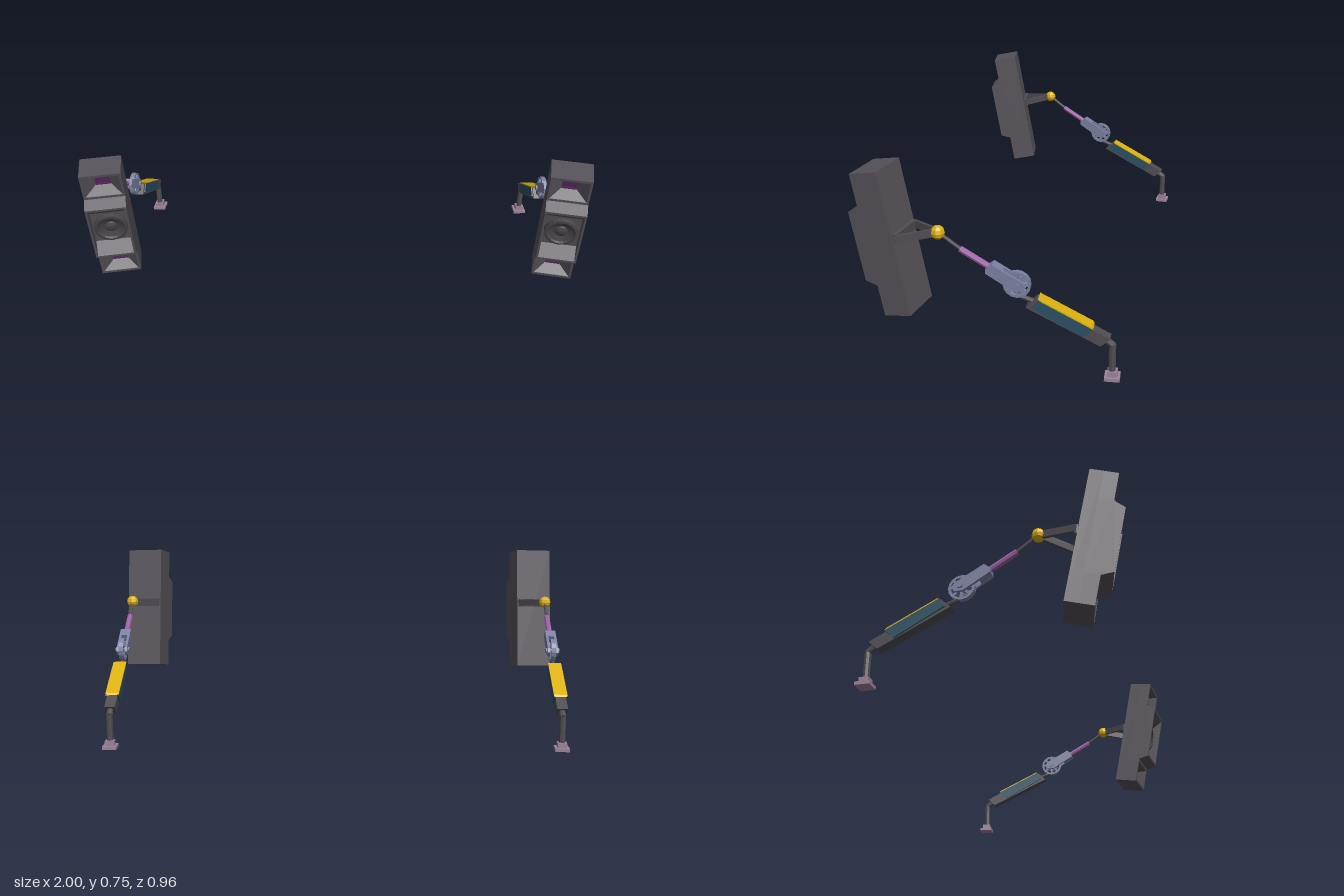
import * as THREE from 'three';

const mat = (name, color, side = THREE.FrontSide) => {
  const m = new THREE.MeshStandardMaterial({ color, side, flatShading: true });
  m.name = name;
  return m;
};

export function createModel() {
  const cabinetGrey = mat('cabinet grey', 0x565259, THREE.DoubleSide);
  const coneGrey = mat('cone grey', 0x48444a, THREE.DoubleSide);
  const darkMetal = mat('dark metal', 0x504d52);
  const throatPurple = mat('throat purple', 0x54285a, THREE.DoubleSide);
  const rodPurple = mat('rod purple', 0x9c60a4);
  const steelBlue = mat('steel blue', 0x7a81a0);
  const yellow = mat('yellow', 0xdcb00c);
  const teal = mat('teal', 0x2b5064);
  const mauve = mat('mauve', 0x9c8299);

  const add = (parent, name, geo, material, x = 0, y = 0, z = 0) => {
    const m = new THREE.Mesh(geo, material);
    m.name = name;
    m.position.set(x, y, z);
    parent.add(m);
    return m;
  };
  const box = (w, h, d) => new THREE.BoxGeometry(w, h, d);

  // Side profile of [z, y] points, extruded across x and centred
  const sideProfile = (pts, width) => {
    const shape = new THREE.Shape(pts.map(([z, y]) => new THREE.Vector2(z, y)));
    const g = new THREE.ExtrudeGeometry(shape, { depth: width, bevelEnabled: false });
    return g.translate(0, 0, -width / 2).rotateY(-Math.PI / 2);
  };
  // Round bar between two points
  const rod = (parent, name, a, b, r, material, sides = 8) => {
    const A = new THREE.Vector3(...a), B = new THREE.Vector3(...b);
    const dir = B.clone().sub(A);
    const m = add(parent, name, new THREE.CylinderGeometry(r, r, dir.length(), sides), material);
    m.position.copy(A).add(B).multiplyScalar(0.5);
    m.quaternion.setFromUnitVectors(new THREE.Vector3(0, 1, 0), dir.normalize());
  };
  // Flat bar between two points
  const bar = (parent, name, a, b, w, h, material) => {
    const m = add(parent, name, box(w, h, a.distanceTo(b)), material);
    m.position.copy(a).add(b).multiplyScalar(0.5);
    m.lookAt(b);
  };
  // Four sloping walls from a wide mouth to a small throat
  const funnel = (w1, h1, z1, w2, h2, z2) => {
    const ring = (w, h, z) => [[-1, -1], [1, -1], [1, 1], [-1, 1]].map(([x, y]) => [x * w / 2, y * h / 2, z]);
    const o = ring(w1, h1, z1), n = ring(w2, h2, z2), p = [];
    for (let i = 0; i < 4; i++) {
      const j = (i + 1) % 4;
      p.push(...o[i], ...o[j], ...n[j], ...o[i], ...n[j], ...n[i]);
    }
    const g = new THREE.BufferGeometry();
    g.setAttribute('position', new THREE.Float32BufferAttribute(p, 3));
    g.computeVertexNormals();
    return g;
  };
  const rectFrame = (w, h, hw, hh, depth) => {
    const rect = (S, a, b) => new S([[-a, -b], [a, -b], [a, b], [-a, b]].map(([x, y]) => new THREE.Vector2(x / 2, y / 2)));
    const s = rect(THREE.Shape, w, h);
    s.holes.push(rect(THREE.Path, hw, hh));
    return new THREE.ExtrudeGeometry(s, { depth, bevelEnabled: false });
  };
  // Wheel with sector cut-outs, axle along x
  const spokedWheel = (r, depth, n) => {
    const s = new THREE.Shape().absarc(0, 0, r, 0, Math.PI * 2);
    for (let i = 0; i < n; i++) {
      const a = (i / n) * Math.PI * 2, e = a + (Math.PI * 2) / n;
      const h = new THREE.Path();
      h.absarc(0, 0, r * 0.8, a + 0.12, e - 0.12, false);
      h.absarc(0, 0, r * 0.34, e - 0.26, a + 0.26, true);
      h.closePath();
      s.holes.push(h);
    }
    const g = new THREE.ExtrudeGeometry(s, { depth, bevelEnabled: false, curveSegments: 8 });
    return g.translate(0, 0, -depth / 2).rotateY(-Math.PI / 2);
  };

  const buildSpeaker = () => {
    const g = new THREE.Group();
    g.name = 'speaker';
    const W = 0.16;
    add(g, 'cabinetBack', box(W, 0.542, 0.05), cabinetGrey, 0, 0, 0.025);
    // Upper and lower horns
    for (const s of [1, -1]) {
      const y = s * 0.2115;
      add(g, 'hornFrame', rectFrame(W, 0.119, 0.142, 0.097, 0.057), cabinetGrey, 0, y, 0.05);
      add(g, 'hornFlare', funnel(0.142, 0.097, 0.106, 0.052, 0.042, 0.06), cabinetGrey, 0, y, 0);
      add(g, 'hornRim', rectFrame(0.058, 0.048, 0.046, 0.036, 0.004), throatPurple, 0, y, 0.061);
      add(g, 'hornThroat', box(0.052, 0.042, 0.006), throatPurple, 0, y, 0.057);
    }
    // Protruding middle with a sunken driver panel between two cheeks
    const half = [[0.05, 0.152], [0.107, 0.152], [0.151, 0.132]];
    const lip = [[0.151, 0.122], [0.108, 0.076]];
    const flip = (pts) => pts.map(([z, y]) => [z, -y]).reverse();
    add(g, 'middleBody', sideProfile([...half, ...lip, ...flip(lip), ...flip(half)], W - 0.016), cabinetGrey);
    for (const s of [1, -1])
      add(g, 'cheek', sideProfile([...half, ...flip(half)], 0.008), cabinetGrey, s * (W / 2 - 0.004));
    // Driver: rim, cone and dust cap
    const prof = [[0.068, 0], [0.066, 0.014], [0.056, 0.016], [0.05, 0.011], [0.026, 0.002], [0.024, 0.006], [0.012, 0.011], [0, 0.012]];
    const lathe = new THREE.LatheGeometry(prof.map(([r, h]) => new THREE.Vector2(r, h)), 20).rotateX(Math.PI / 2);
    add(g, 'driver', lathe, coneGrey, 0, 0, 0.108);
    return g;
  };

  const buildUnit = (side) => {
    const unit = new THREE.Group();
    unit.name = side > 0 ? 'leftUnit' : 'rightUnit';

    const speaker = buildSpeaker();
    speaker.position.set(side * 0.919, 0.4845, 0.297);
    speaker.rotation.set(0.185, -side * 0.17, 0);
    unit.add(speaker);

    // Bracket from the ball joint to both back edges of the cabinet
    speaker.updateMatrix();
    const joint = new THREE.Vector3(side * 0.943, 0.525, 0.165);
    const ends = [-1, 1].map((s) => new THREE.Vector3(s * 0.073, 0.022, -0.006).applyMatrix4(speaker.matrix));
    for (const e of ends) bar(unit, 'bracketArm', joint, e, 0.012, 0.028, darkMetal);
    bar(unit, 'bracketCrossbar', ends[0], ends[1], 0.014, 0.034, darkMetal);
    add(unit, 'ballJoint', new THREE.SphereGeometry(0.026, 8, 6), yellow, joint.x, joint.y, joint.z);

    // Arm, turned slightly about its base
    const pivot = new THREE.Group();
    pivot.name = 'arm';
    pivot.position.set(side * 0.903, 0, -0.452);
    pivot.rotation.y = side * 0.065;
    unit.add(pivot);
    const arm = new THREE.Group();
    arm.name = 'armParts';
    arm.position.z = 0.452;
    pivot.add(arm);

    add(arm, 'basePlate', box(0.056, 0.013, 0.056), mauve, 0, 0.0065, -0.454);
    add(arm, 'baseCollar', box(0.036, 0.02, 0.036), mauve, 0, 0.023, -0.454);
    rod(arm, 'post', [0, 0.03, -0.452], [0, 0.138, -0.452], 0.013, darkMetal);
    rod(arm, 'postElbow', [0, 0.134, -0.454], [0, 0.17, -0.405], 0.013, darkMetal);

    // Lower arm with coloured side panels and top cover
    const core = [[-0.145, 0.267], [-0.411, 0.135], [-0.445, 0.166], [-0.184, 0.303]];
    add(arm, 'lowerArm', sideProfile(core.reverse(), 0.042), darkMetal);
    const panel = [[-0.196, 0.301], [-0.385, 0.204], [-0.351, 0.168], [-0.165, 0.27]];
    for (const s of [1, -1]) add(arm, 'sidePanel', sideProfile(panel, 0.006), teal, s * 0.0235);
    add(arm, 'topCover', sideProfile([[-0.19, 0.306], [-0.38, 0.21], [-0.385, 0.202], [-0.196, 0.298]], 0.054), yellow);
    rod(arm, 'lowerLink', [0, 0.28, -0.185], [0, 0.303, -0.12], 0.009, darkMetal);

    // Elbow wheel held between the cheeks of the upper housing
    add(arm, 'elbowWheel', spokedWheel(0.05, 0.02, 8), steelBlue, 0, 0.347, -0.112);
    rod(arm, 'axle', [-0.029, 0.347, -0.114], [0.029, 0.347, -0.114], 0.011, steelBlue, 10);
    const housing = [[-0.028, 0.423], [-0.134, 0.361], [-0.146, 0.343], [-0.134, 0.326], [-0.102, 0.327], [-0.004, 0.388], [-0.004, 0.405]];
    for (const s of [1, -1]) add(arm, 'housingCheek', sideProfile(housing, 0.01), steelBlue, s * 0.017);
    add(arm, 'housingBlock', sideProfile([[-0.028, 0.423], [-0.064, 0.402], [-0.045, 0.363], [-0.004, 0.388], [-0.004, 0.405]], 0.03), steelBlue);
    rod(arm, 'upperRod', [0, 0.4, -0.025], [0, 0.468, 0.089], 0.012, rodPurple);
    rod(arm, 'thinRod', [0, 0.464, 0.082], [0, 0.525, 0.165], 0.007, darkMetal);
    return unit;
  };

  const model = new THREE.Group();
  model.name = 'speakerArms';
  for (const side of [1, -1]) model.add(buildUnit(side));
  return model;
}
